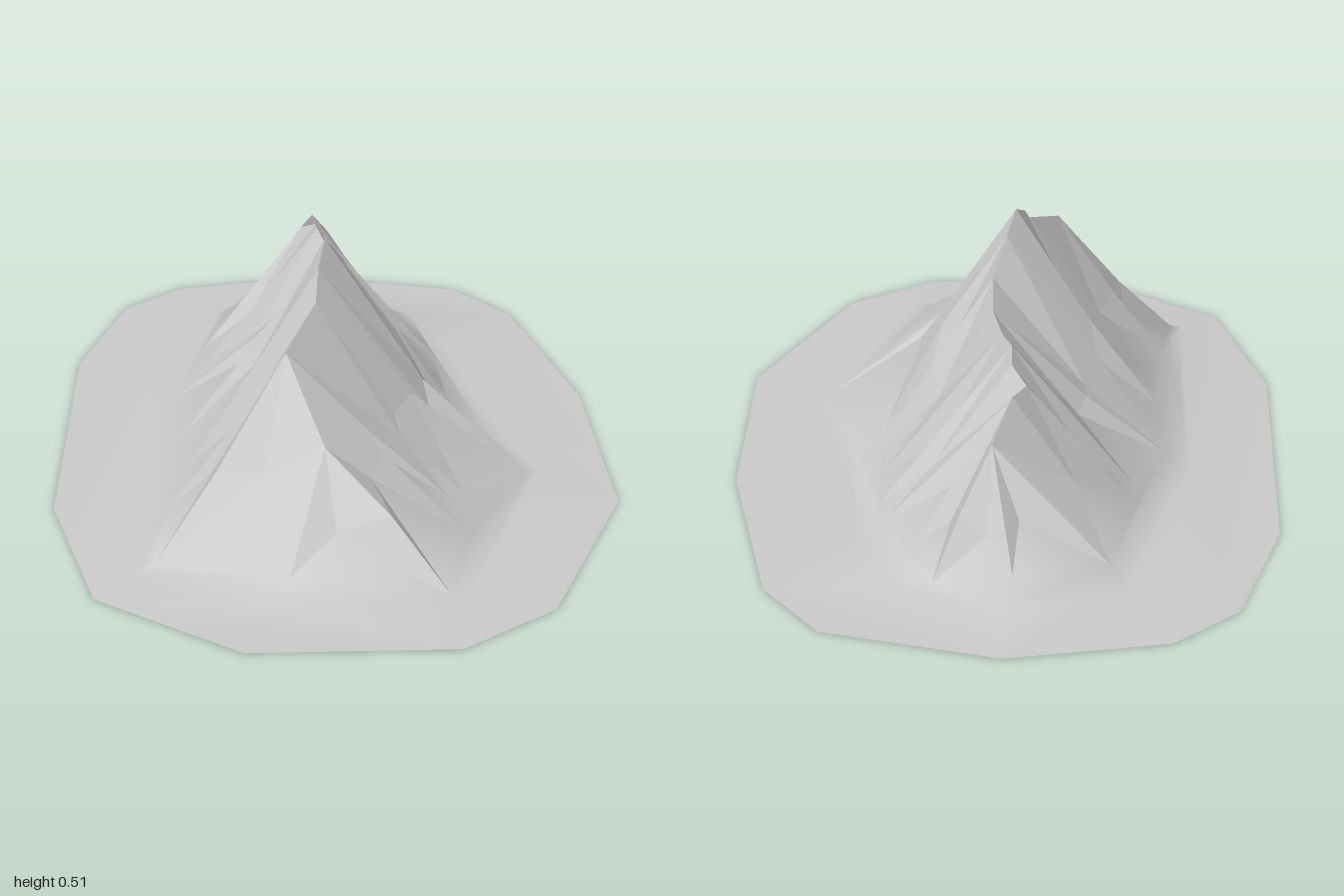
import * as THREE from 'three';

// Crest line, front to back: x, y, z
const RIDGE = [
  [-0.04, 0.24, 0.58], [-0.11, 0.385, 0.43], [-0.04, 0.435, 0.28], [-0.03, 0.48, 0.2],
  [-0.01, 0.515, 0.11], [0.01, 0.475, 0.05], [0.04, 0.41, -0.04], [0.04, 0.375, -0.15],
  [0.02, 0.36, -0.24], [0, 0.375, -0.34], [0, 0.36, -0.41], [-0.03, 0.335, -0.46],
  [0, 0.34, -0.53], [0.04, 0.27, -0.61],
];

// Lower ends of the spurs, counter-clockwise from the front:
// x, y, z, crest point they hang from, rise of the shoulder above a straight slope
const SPURS = [
  [0.2, 0.012, 0.81, 0, 0.02], [0.26, 0.02, 0.55, 1, -0.01], [0.23, 0.05, 0.43, 1, -0.01],
  [0.27, 0.02, 0.35, 2, -0.02], [0.42, 0.012, 0.24, 3, -0.07], [0.28, 0.03, 0.04, 5, 0.03],
  [0.29, 0.03, -0.08, 6, 0.01], [0.28, 0.03, -0.23, 8, 0], [0.28, 0.03, -0.38, 9, 0],
  [0.27, 0.03, -0.47, 11, 0], [0.21, 0.03, -0.6, 12, 0], [0.16, 0.03, -0.74, 13, 0.01],
  [0, 0.06, -0.77, 13, 0], [-0.2, 0.04, -0.69, 13, 0], [-0.26, 0.05, -0.43, 11, 0],
  [-0.26, 0.05, -0.33, 9, 0], [-0.34, 0.04, -0.15, 7, -0.02], [-0.3, 0.05, 0, 5, 0],
  [-0.33, 0.05, 0.1, 4, -0.02], [-0.31, 0.06, 0.25, 3, 0], [-0.36, 0.04, 0.43, 1, -0.01],
  [-0.39, 0.02, 0.65, 1, -0.015], [-0.12, 0.04, 0.76, 0, 0],
];

// Foot of the mountain and outer edge of the ground, counter-clockwise: x, z
const FOOT = [
  [-0.15, 0.82], [0.22, 0.83], [0.34, 0.6], [0.41, 0.38], [0.44, 0.23], [0.36, 0.04],
  [0.34, -0.3], [0.32, -0.5], [0.25, -0.7], [0.02, -0.82], [-0.22, -0.75], [-0.34, -0.5],
  [-0.39, -0.15], [-0.39, 0.25], [-0.42, 0.66], [-0.32, 0.77],
];
const EDGE = [
  [-0.22, 0.99], [0.2, 1], [0.4, 0.85], [0.6, 0.37], [0.6, -0.2], [0.5, -0.71], [0.38, -0.89],
  [0.02, -1], [-0.31, -0.94], [-0.45, -0.81], [-0.56, -0.46], [-0.6, 0.33], [-0.51, 0.75],
];

// Triangles between an outer and an inner loop, numbered from the given starts
function ring(outer, inner, outerStart, innerStart) {
  const flat = (list) => list.map((p) => new THREE.Vector2(p.x, -p.z));
  return THREE.ShapeUtils.triangulateShape(flat(outer), [flat(inner)]).flat()
    .map((k) => (k < outer.length ? outerStart + k : innerStart + k - outer.length));
}

export function createModel() {
  const group = new THREE.Group();
  const material = new THREE.MeshStandardMaterial({ color: 0xcccccc, side: THREE.DoubleSide });
  const n = SPURS.length;

  const edge = EDGE.map(([x, z]) => new THREE.Vector3(x, 0, z));
  const foot = FOOT.map(([x, z]) => new THREE.Vector3(x, 0.01, z));
  const tips = SPURS.map(([x, y, z]) => new THREE.Vector3(x, y, z));
  const ridge = RIDGE.map((p) => new THREE.Vector3(...p));

  // Each spur bends at a shoulder halfway down
  const shoulders = SPURS.map(([, , , r, rise], i) => {
    const p = ridge[r].clone().lerp(tips[i], 0.53);
    p.y += rise;
    return p;
  });

  // Each gully between two spurs is a low point set back into the slope
  const gullyCrest = SPURS.map((s, i) => Math.ceil((s[3] + SPURS[(i + 1) % n][3]) / 2));
  const gullies = tips.map((tip, i) => {
    const mouth = tip.clone().lerp(tips[(i + 1) % n], 0.35 + 0.3 * (i % 2));
    const p = ridge[gullyCrest[i]].clone().lerp(mouth, 0.55 + 0.06 * (i % 3 - 1));
    p.y *= 0.82;
    return p;
  });

  // All points in one list, with the start of each set
  const points = [...edge, ...foot, ...tips, ...shoulders, ...gullies, ...ridge];
  const F = edge.length, T = F + foot.length, S = T + n, G = S + n, R = G + n;

  // Flat ground, then the gentle slope up to the spurs
  const ground = [...ring(edge, foot, 0, F), ...ring(foot, tips, F, T)];

  // Aprons fill the gully mouths, crags run from the crest to the spur ends
  const crags = [];
  for (let i = 0; i < n; i++) {
    const j = (i + 1) % n, g = G + i;
    const ri = R + SPURS[i][3], rj = R + SPURS[j][3], rg = R + gullyCrest[i];
    ground.push(T + i, T + j, g);
    crags.push(ri, S + i, g, S + i, T + i, g, rj, g, S + j, S + j, g, T + j);
    if (ri !== rg) crags.push(ri, g, rg);
    if (rg !== rj) crags.push(rg, g, rj);
  }

  // Ground shares smooth normals with the slopes above it
  const groundGeometry = new THREE.BufferGeometry().setFromPoints(points);
  groundGeometry.setIndex([...ground, ...crags]);
  groundGeometry.computeVertexNormals();
  groundGeometry.setIndex(ground);
  const groundMesh = new THREE.Mesh(groundGeometry, material);
  groundMesh.name = 'ground';

  // Crags are faceted
  const indexed = new THREE.BufferGeometry().setFromPoints(points);
  indexed.setIndex(crags);
  const cragGeometry = indexed.toNonIndexed();
  cragGeometry.computeVertexNormals();
  const cragMesh = new THREE.Mesh(cragGeometry, material);
  cragMesh.name = 'mountainCrags';

  group.add(groundMesh, cragMesh);
  return group;
}
